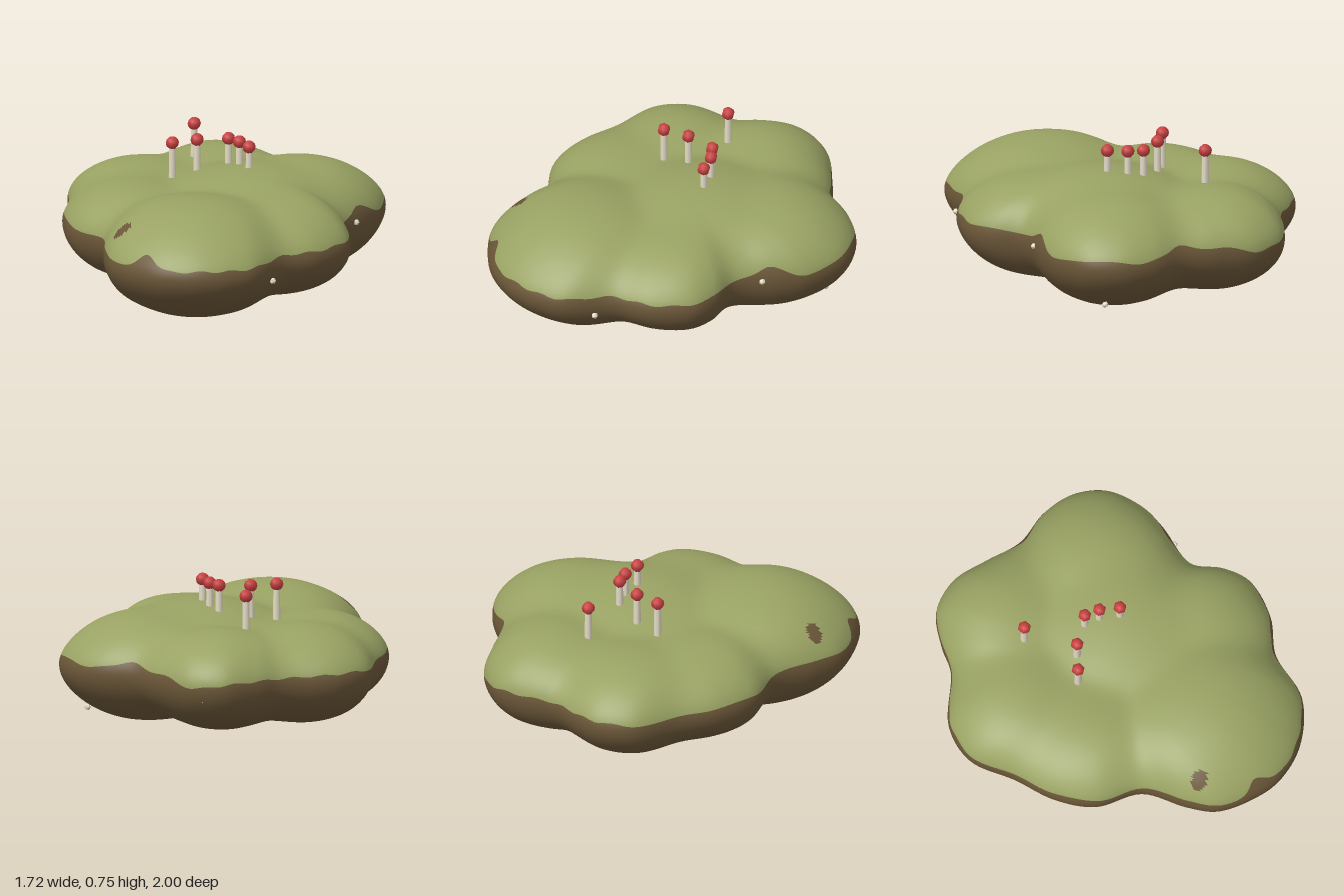
import * as THREE from 'three';

const mat = (name, color) => {
  const m = new THREE.MeshStandardMaterial({ color });
  m.name = name;
  return m;
};

// Footprint of the mound, counterclockwise seen from above: [x, z]
const OUTLINE = [
  [-0.2, -1], [-0.38, -0.95], [-0.5, -0.8], [-0.57, -0.67], [-0.8, -0.47], [-0.86, -0.27],
  [-0.78, -0.03], [-0.72, 0.2], [-0.6, 0.39], [-0.38, 0.52], [-0.27, 0.75], [-0.18, 0.88],
  [0, 0.97], [0.16, 1], [0.37, 0.95], [0.57, 0.78], [0.65, 0.52], [0.79, 0.35], [0.86, 0.14],
  [0.82, 0], [0.72, -0.15], [0.77, -0.4], [0.78, -0.55], [0.72, -0.75], [0.58, -0.87],
  [0.4, -0.91], [0.2, -0.89], [0, -0.95],
];

// Soft lobes: x, z, rise above and drop below the widest level
const MID = 0.33;
const LOBES = [
  [0.15, 0.53, 0.3, 0.32], [0.22, -0.15, 0.295, 0.31], [0.52, 0.08, 0.255, 0.275],
  [0.4, -0.52, 0.28, 0.305], [-0.2, -0.72, 0.265, 0.29], [-0.52, -0.28, 0.25, 0.28],
  [-0.38, 0.14, 0.24, 0.265],
];
// Smooth maximum of the lobe domes
function lobeHeight(x, z, k) {
  let sum = 0;
  for (const l of LOBES) {
    const d2 = (x - l[0]) ** 2 + (z - l[1]) ** 2;
    sum += Math.exp(60 * (l[k] - 0.48 * d2));
  }
  return Math.log(sum) / 60;
}

// Height of the grass edge around the rim
const bump = (x, z, cx, cz, w) => Math.exp(-((x - cx) ** 2 + (z - cz) ** 2) / (w * w));
function grassLine(x, z) {
  return 0.372 + 0.01 * Math.sin(9 * x + 5 * z) + 0.005 * Math.sin(31 * x - 23 * z)
    + 0.07 * bump(x, z, 0.05, 0.98, 0.08) + 0.06 * bump(x, z, 0.76, -0.34, 0.1)
    + 0.04 * bump(x, z, 0.25, -0.89, 0.12) - 0.03 * bump(x, z, -0.2, -1, 0.15);
}

// Mound skin: rings from the top centre over the rim to the bottom centre
function moundGeometry() {
  const curve = new THREE.CatmullRomCurve3(OUTLINE.map(([x, z]) => new THREE.Vector3(x, 0, z)), true);
  const N = 224, TOP = 48, LOW = 48, P = 5.2, cx = 0.02, cz = -0.03;
  const pos = [], grass = [], soil = [];
  for (let i = 0; i <= TOP + LOW; i++) {
    for (let j = 0; j < N; j++) {
      const p = curve.getPoint(j / N);
      const c = (grassLine(p.x, p.z) - MID) / lobeHeight(p.x, p.z, 2);
      const edge = Math.asin(Math.pow(1 - c * c, 1 / P));
      const a = i <= TOP ? edge * i / TOP : edge + (Math.PI - edge) * (i - TOP) / LOW;
      const r = Math.min(1, Math.max(0, Math.sin(a)));
      const x = cx + (p.x - cx) * r, z = cz + (p.z - cz) * r;
      const rise = Math.sqrt(Math.max(0, 1 - Math.pow(r, P)));
      const y = a < Math.PI / 2 ? MID + lobeHeight(x, z, 2) * rise : MID - lobeHeight(x, z, 3) * rise;
      pos.push(x, y, z);
    }
  }
  // Faces, with a bare patch of soil showing through near the front
  const addFace = (top, ...ids) => {
    const mean = (k) => ids.reduce((s, id) => s + pos[3 * id + k], 0) / 3;
    const bare = Math.hypot((mean(0) + 0.17) / 0.05, (mean(2) - 0.735) / 0.036) < 1;
    (top && !bare ? grass : soil).push(...ids);
  };
  for (let i = 0; i < TOP + LOW; i++) {
    for (let j = 0; j < N; j++) {
      const a = i * N + j, b = i * N + (j + 1) % N, c = a + N, d = b + N;
      if (i < TOP + LOW - 1) addFace(i < TOP, a, c, d);
      else addFace(false, a, c, b);
      if (i > 0 && i < TOP + LOW - 1) addFace(i < TOP, a, d, b);
    }
  }
  const g = new THREE.BufferGeometry();
  g.setAttribute('position', new THREE.Float32BufferAttribute(pos, 3));
  g.setIndex(grass.concat(soil));
  g.addGroup(0, grass.length, 0);
  g.addGroup(grass.length, soil.length, 1);
  g.computeVertexNormals();
  return g;
}

export function createModel() {
  const group = new THREE.Group();
  const grassMat = mat('moss green', 0x99a263);
  const soilMat = mat('soil brown', 0x6a5638);
  const stemMat = mat('pale stem', 0xe4dcc6);
  const capMat = mat('cap red', 0xc84040);

  const add = (name, geo, material, x, y, z, parent = group) => {
    const m = new THREE.Mesh(geo, material);
    m.name = name;
    m.position.set(x, y, z);
    parent.add(m);
    return m;
  };

  add('mound', moundGeometry(), [grassMat, soilMat], 0, 0, 0);

  // Small mushrooms with round caps
  const stemGeo = new THREE.CylinderGeometry(0.018, 0.021, 0.22, 8);
  const capGeo = new THREE.SphereGeometry(0.035, 6, 6);
  const spots = [[-0.235, -0.455], [-0.215, -0.09], [-0.115, -0.19], [0.03, -0.27], [0.105, -0.235], [0.187, -0.165]];
  for (const [x, z] of spots) {
    const mushroom = new THREE.Group();
    mushroom.name = 'mushroom';
    mushroom.position.set(x, 0, z);
    add('stem', stemGeo, stemMat, 0, 0.61, 0, mushroom);
    add('cap', capGeo, capMat, 0, 0.735, 0, mushroom).rotation.y = Math.PI / 6;
    group.add(mushroom);
  }

  // Pale chips set into the sides and underside
  const chipGeo = new THREE.IcosahedronGeometry(0.018, 0);
  const chips = [[0.62, 0.27, 0.6], [0.74, 0.35, -0.29], [0.575, 0.11, -0.705], [0.415, 0.09, -0.675], [-0.265, 0.27, -0.965]];
  for (const [x, y, z] of chips) add('chip', chipGeo, stemMat, x, y, z);
  return group;
}
